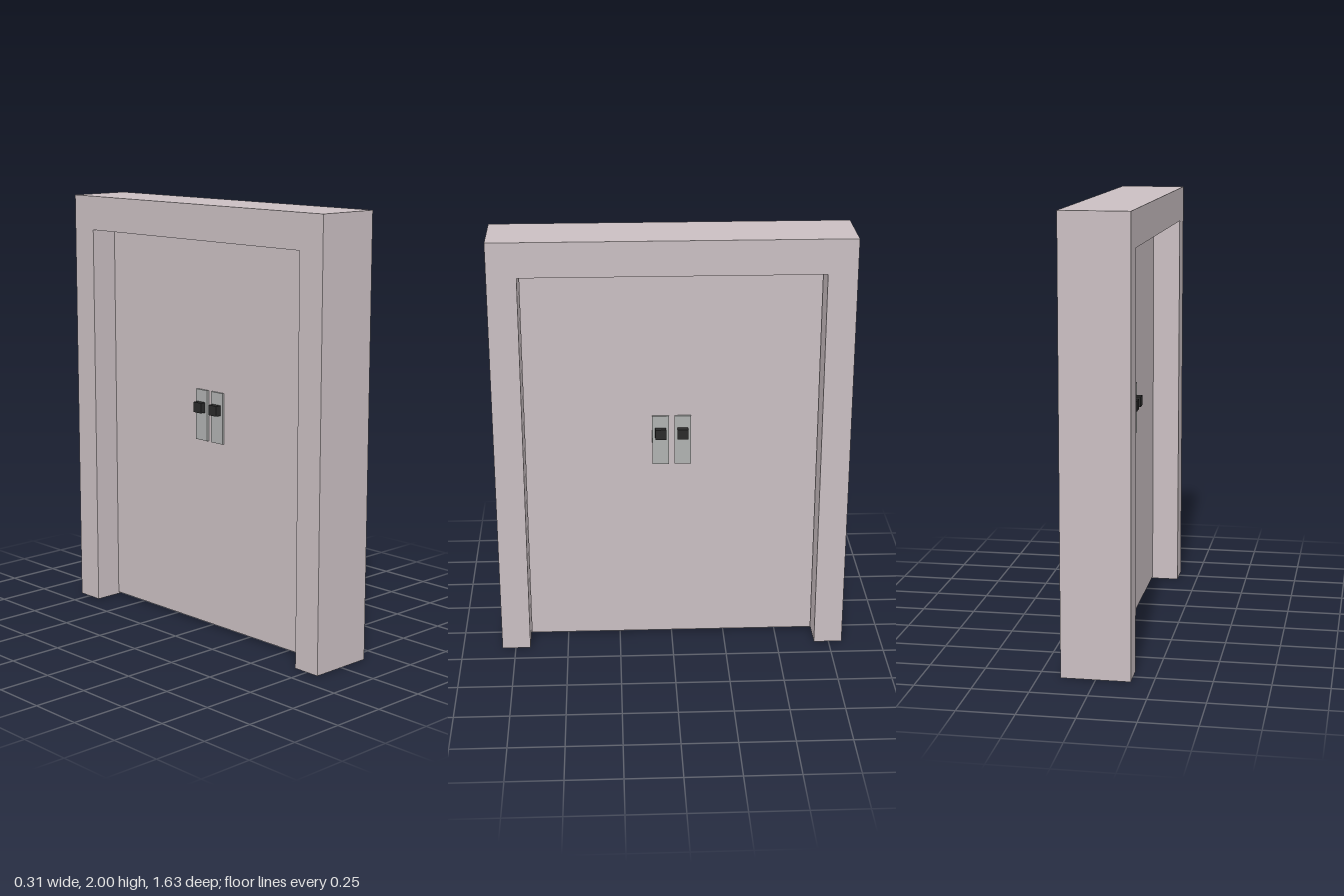
import * as THREE from 'three';

const paint = new THREE.MeshStandardMaterial({ color: 0xcabfc2 });
const metal = new THREE.MeshStandardMaterial({ color: 0xb0b2b1 });
const dark = new THREE.MeshStandardMaterial({ color: 0x2a2a2a });

function box(name, size, position, material) {
  const mesh = new THREE.Mesh(new THREE.BoxGeometry(...size), material);
  mesh.name = name;
  mesh.position.set(...position);
  return mesh;
}

export function createModel() {
  const model = new THREE.Group();
  model.name = 'doubleDoor';

  // Frame: an upside-down U, extruded through the wall thickness along x
  const depth = 0.306, outer = 0.813, inner = 0.68, head = 1.84;
  const outline = new THREE.Shape([
    [-outer, 0], [-inner, 0], [-inner, head], [inner, head],
    [inner, 0], [outer, 0], [outer, 2], [-outer, 2],
  ].map(([z, y]) => new THREE.Vector2(z, y)));
  const frameGeometry = new THREE.ExtrudeGeometry(outline, { depth, bevelEnabled: false });
  frameGeometry.translate(0, 0, -depth / 2).rotateY(Math.PI / 2);
  const frame = new THREE.Mesh(frameGeometry, paint);
  frame.name = 'doorFrame';
  model.add(frame);

  // Flush door, lifted slightly off the floor
  const half = 0.024, bottom = 0.01, top = 1.836;
  model.add(box('doorPanel', [half * 2, top - bottom, 1.354], [0, (top + bottom) / 2, 0], paint));

  // A pair of handles on each face
  const plate = 0.01, knob = 0.028;
  for (const side of [-1, 1]) {
    for (const z of [-0.051, 0.051]) {
      const handle = new THREE.Group();
      handle.name = 'handle';
      handle.add(
        box('handlePlate', [plate, 0.239, 0.077], [side * (half + plate / 2), 1.015, z], metal),
        box('handleKnob', [knob, 0.048, 0.05], [side * (half + plate + knob / 2), 1.053, z], dark),
      );
      model.add(handle);
    }
  }
  return model;
}
